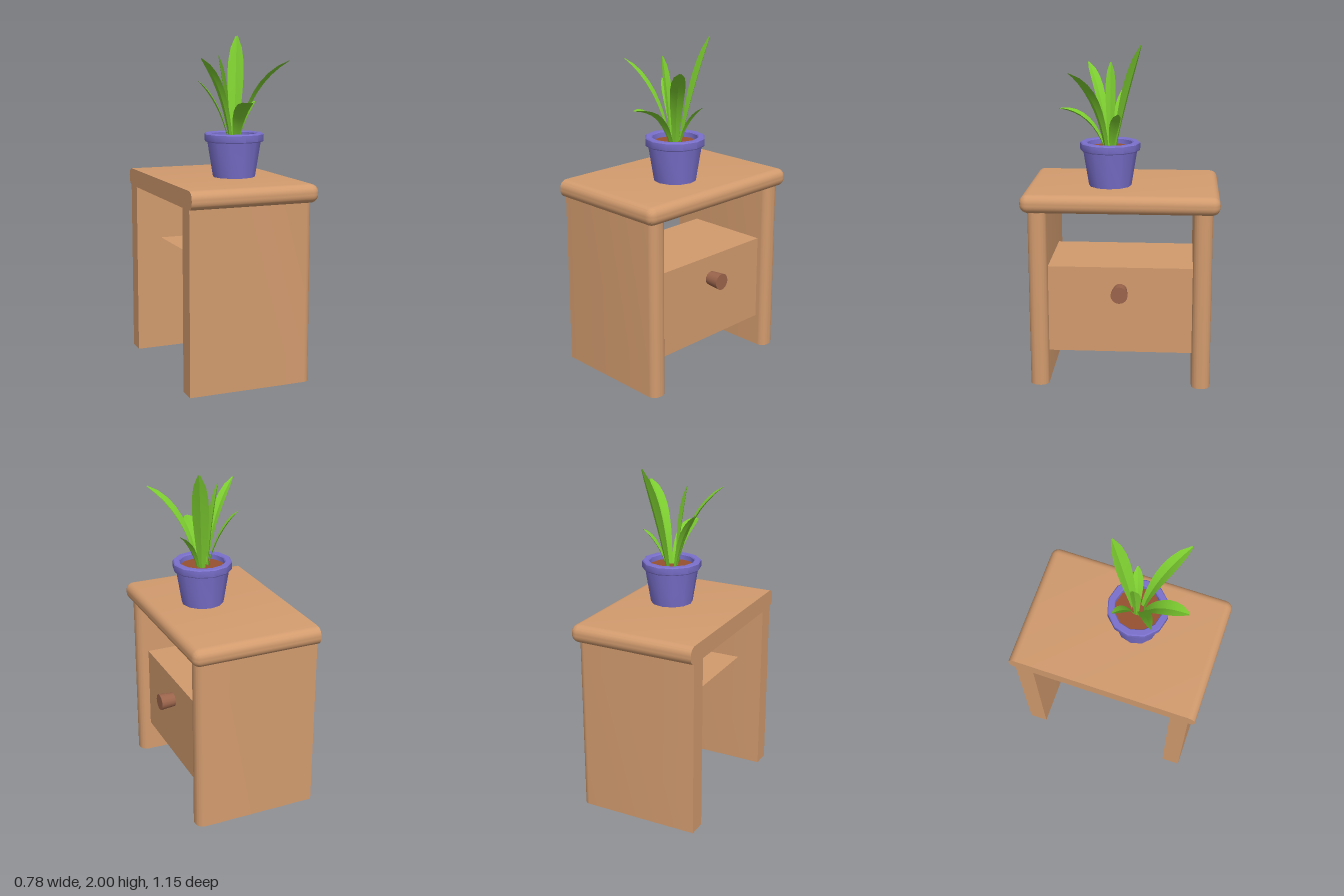
import * as THREE from 'three';
import { toCreasedNormals } from 'three/addons/utils/BufferGeometryUtils.js';
import { RoundedBoxGeometry } from 'three/addons/geometries/RoundedBoxGeometry.js';

const paint = (color, side = THREE.FrontSide) => new THREE.MeshStandardMaterial({ color, side });
const wood = paint(0xd29b6e);
const woodThin = paint(0xd29b6e, THREE.DoubleSide);
const knobWood = paint(0x9c654c);
const potBlue = paint(0x7a70cc, THREE.DoubleSide);
const soilBrown = paint(0x96512f);
const leafGreen = paint(0x7ccc30, THREE.DoubleSide);

function add(parent, name, geometry, material, x = 0, y = 0, z = 0) {
  const mesh = new THREE.Mesh(geometry, material);
  mesh.name = name;
  mesh.position.set(x, y, z);
  parent.add(mesh);
  return mesh;
}

const BACK = -0.39, FRONT = 0.36, POT_X = 0.065, POT_Z = 0.073;

// Slab rounded on three sides; the fourth is cut flat by clamping x
function tabletopGeometry() {
  const r = 0.048, max = 0.39, width = max - BACK + r;
  const g = new RoundedBoxGeometry(width, 0.108, 1.15, 4, r);
  g.translate(max - width / 2, 0, 0);
  const p = g.attributes.position;
  for (let i = 0; i < p.count; i++) p.setX(i, Math.max(BACK, p.getX(i)));
  return toCreasedNormals(g, 0.6);
}

// Upright side panel, rounded along its two front edges and open at the ends
function sidePanelGeometry(height) {
  const h = 0.055, r = 0.048;
  const s = new THREE.Shape();
  s.moveTo(BACK, -h);
  s.lineTo(FRONT - r, -h);
  s.absarc(FRONT - r, -h + r, r, -Math.PI / 2, 0);
  s.absarc(FRONT - r, h - r, r, 0, Math.PI / 2);
  s.lineTo(BACK, h);
  s.closePath();
  const solid = new THREE.ExtrudeGeometry(s, { depth: height, bevelEnabled: false, curveSegments: 6 });
  const wallStart = solid.groups[1].start * 3;
  const wall = new THREE.BufferGeometry();
  wall.setAttribute('position', new THREE.BufferAttribute(solid.attributes.position.array.slice(wallStart), 3));
  wall.rotateX(-Math.PI / 2);
  return toCreasedNormals(wall, 0.6);
}

// Folded blade swept along a curve: ridged across, widest past the middle
function leafGeometry(base, tip, width, out, rise) {
  const mid = new THREE.Vector3(
    THREE.MathUtils.lerp(base.x, tip.x, out),
    THREE.MathUtils.lerp(base.y, tip.y, rise),
    THREE.MathUtils.lerp(base.z, tip.z, out));
  const curve = new THREE.QuadraticBezierCurve3(base, mid, tip);
  const side = new THREE.Vector3(tip.z - base.z, 0, base.x - tip.x).normalize();
  const widths = [0.42, 0.55, 0.7, 0.84, 0.95, 1, 0.93, 0.7, 0.14];
  const across = [-1, -0.5, 0, 0.5, 1], fold = [0.3, 0.14, -0.06, 0.14, 0.3];
  const positions = [], index = [];
  widths.forEach((w, i) => {
    const t = i / (widths.length - 1), c = curve.getPoint(t);
    const normal = curve.getTangent(t).cross(side).normalize();
    across.forEach((a, j) => {
      const v = c.clone().addScaledVector(side, a * w * width / 2)
        .addScaledVector(normal, fold[j] * w * width / 2);
      positions.push(v.x, v.y, v.z);
      if (i && j) {
        const k = i * 5 + j;
        index.push(k - 6, k - 5, k - 1, k - 5, k, k - 1);
      }
    });
  });
  const g = new THREE.BufferGeometry();
  g.setAttribute('position', new THREE.Float32BufferAttribute(positions, 3));
  g.setIndex(index);
  return toCreasedNormals(g, 0.45);
}

export function createModel() {
  const model = new THREE.Group();
  model.name = 'nightstandWithPlant';

  // Table
  const table = new THREE.Group();
  table.name = 'nightstand';
  model.add(table);
  add(table, 'tabletop', tabletopGeometry(), wood, 0, 1.114, 0);
  const panel = sidePanelGeometry(1.062);
  for (const s of [1, -1]) add(table, s > 0 ? 'leftSidePanel' : 'rightSidePanel', panel, woodThin, 0, 0, s * 0.48);

  // Drawer: front board and top board, open behind and below
  const drawerFront = new THREE.PlaneGeometry(0.86, 0.525).rotateY(Math.PI / 2);
  add(table, 'drawerFront', drawerFront, woodThin, 0.295, 0.4625, 0);
  const drawerTop = new THREE.PlaneGeometry(0.525, 0.86).rotateX(-Math.PI / 2);
  add(table, 'drawerTop', drawerTop, woodThin, 0.0325, 0.725, 0);
  const knob = new THREE.CylinderGeometry(0.05, 0.042, 0.09, 16).rotateZ(-Math.PI / 2);
  add(table, 'drawerKnob', knob, knobWood, 0.34, 0.583, 0);

  // Pot with a thick rim
  const plant = new THREE.Group();
  plant.name = 'pottedPlant';
  plant.position.set(POT_X, 0, POT_Z);
  model.add(plant);
  const profile = [[0, 1.169], [0.127, 1.169], [0.161, 1.38], [0.174, 1.38], [0.178, 1.386],
    [0.178, 1.424], [0.172, 1.43], [0.142, 1.43], [0.136, 1.424], [0.133, 1.38]];
  const pot = new THREE.LatheGeometry(profile.map(([x, y]) => new THREE.Vector2(x, y)), 12);
  add(plant, 'pot', toCreasedNormals(pot, 0.6), potBlue);
  add(plant, 'soil', new THREE.CircleGeometry(0.137, 12).rotateX(-Math.PI / 2), soilBrown, 0, 1.395, 0);

  // Leaves: tip x, y, z, width, then how far the bend goes out and up
  const leaves = [
    [0.16, 2.0, -0.113, 0.098, 0.38, 0.52],
    [0.322, 1.855, 0.288, 0.085, 0.22, 0.72],
    [0.042, 1.62, 0.373, 0.095, 0.28, 0.92],
    [-0.2, 1.87, 0.222, 0.065, 0.25, 0.7],
    [-0.13, 1.735, -0.012, 0.055, 0.3, 0.65],
    [0.228, 1.612, 0.015, 0.06, 0.3, 0.65],
    [-0.036, 1.885, 0.075, 0.06, 0.3, 0.6],
  ];
  leaves.forEach(([x, y, z, width, out, rise], i) => {
    const tip = new THREE.Vector3(x - POT_X, y, z - POT_Z);
    const base = new THREE.Vector3(tip.x, 0, tip.z).setLength(0.035).setY(1.39);
    add(plant, `leaf${i + 1}`, leafGeometry(base, tip, width, out, rise), leafGreen);
  });

  return model;
}
